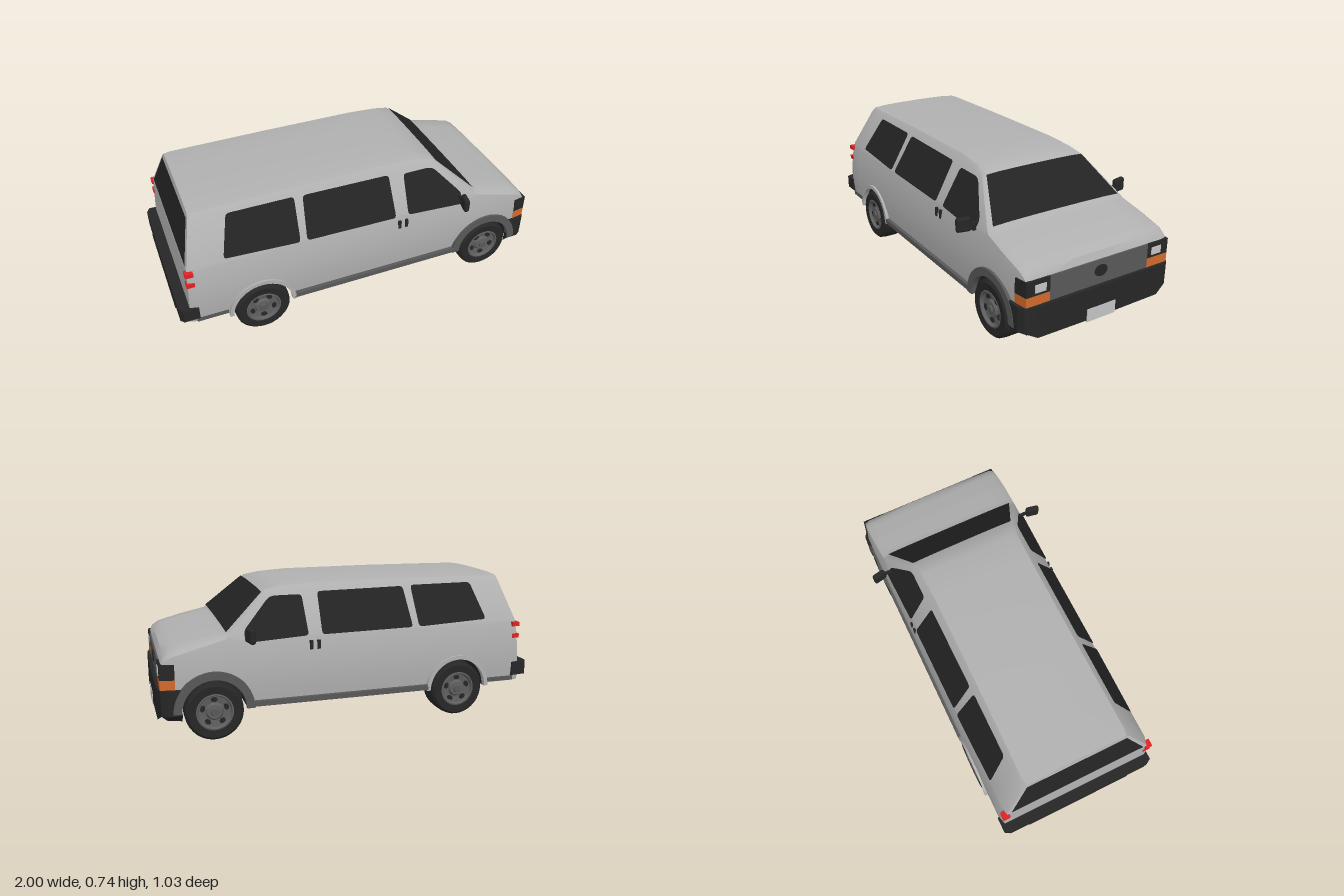
import * as THREE from 'three';
import { toCreasedNormals } from 'three/addons/utils/BufferGeometryUtils.js';
import { RoundedBoxGeometry } from 'three/addons/geometries/RoundedBoxGeometry.js';

const mat = (name, color, side = THREE.DoubleSide) =>
  Object.assign(new THREE.MeshStandardMaterial({ color, side }), { name });
const M = {
  body: mat('silver paint', 0xb0b0b0), glass: mat('dark glass', 0x232323),
  rubber: mat('black rubber', 0x262626), trim: mat('grey trim', 0x585858),
  amber: mat('amber lens', 0xd06a2c), red: mat('red lens', 0xe02222),
  lens: mat('clear lens', 0xc4c4c4), rim: mat('wheel grey', 0x5e5e5e),
};
const lerpTable = (t, x, k = 1) => {
  if (x <= t[0][0]) return t[0][k];
  for (let i = 1; i < t.length; i++) if (x <= t[i][0]) {
    const [a, b] = [t[i - 1], t[i]];
    return a[k] + (b[k] - a[k]) * (x - a[0]) / (b[0] - a[0]);
  }
  return t[t.length - 1][k];
};

// Body rules: half width by height, roof and shoulder height by length, plan taper, tail slope
const WIDTH = [[.16, .425], [.25, .435], [.34, .435], [.43, .425], [.5, .41], [.7, .3], [.72, .28]];
const TOP = [[-.94, .732, .7], [-.3, .742, .705], [.2, .742, .705], [.36, .728, .7], [.44, .71, .69],
  [.66, .515, .495], [.8, .485, .46], [.92, .452, .428], [.955, .43, .405], [.97, .395, .385]];
const TAPER = [[-.94, .97], [-.89, 1], [.8, 1], [.92, .985], [.97, .965]];
const TAIL = [[.16, -.945], [.48, -.925], [.72, -.86]];
const WHEELS = [-.57, .725], AXLE = .145, ARCH = .165;
const halfWidth = y => lerpTable(WIDTH, y);

function grid(rows, crease = .6) {
  const n = rows[0].length, index = [];
  for (let i = 0; i < rows.length - 1; i++) for (let j = 0; j < n - 1; j++) {
    const a = i * n + j, b = a + n;
    index.push(a, b, a + 1, b, b + 1, a + 1);
  }
  const g = new THREE.BufferGeometry();
  g.setAttribute('position', new THREE.Float32BufferAttribute(rows.flat(2), 3));
  g.setIndex(index);
  return toCreasedNormals(g, crease);
}

// Upper half of a cross-section, from shoulder to centre line
function crown(x) {
  const top = lerpTable(TOP, x, 1), s = lerpTable(TOP, x, 2), z = halfWidth(s);
  return [[.93, .7], [.7, .9], [.35, .98], [0, 1]].map(([w, h]) => [z * w, s + (top - s) * h]);
}
function section(x) {
  let base = .16;
  for (const w of WHEELS) if (Math.abs(x - w) < ARCH) base = Math.max(base, AXLE + Math.sqrt(ARCH ** 2 - (x - w) ** 2));
  const s = lerpTable(TOP, x, 2);
  const half = [.16, .25, .34, .43, .48, .5, .6, .7].map(l => {
    const y = Math.min(s, Math.max(base, l));
    return [halfWidth(y), y];
  }).concat(crown(x));
  const place = ([z, y], k) => {
    const px = x < -.7 ? -.7 + (x + .7) / .24 * (-lerpTable(TAIL, y) - .7) : x;
    return [px, y, z * k * lerpTable(TAPER, x)];
  };
  return [...half.map(p => place(p, 1)), ...half.slice(0, -1).reverse().map(p => place(p, -1))];
}

export function createModel() {
  const root = new THREE.Group();
  root.name = 'van';
  const add = (name, geo, m, x = 0, y = 0, z = 0, parent = root) => {
    const mesh = new THREE.Mesh(geo, m);
    mesh.name = name;
    mesh.position.set(x, y, z);
    parent.add(mesh);
    return mesh;
  };
  // Box given by its limits on each axis
  const box = (name, m, x0, x1, y0, y1, z0, z1, r = 0) => {
    const d = [x1 - x0, y1 - y0, Math.abs(z1 - z0)];
    return add(name, r ? new RoundedBoxGeometry(...d, 3, r) : new THREE.BoxGeometry(...d), m,
      (x0 + x1) / 2, (y0 + y1) / 2, (z0 + z1) / 2);
  };

  // Body shell, open underneath
  const stations = [...TOP.map(t => t[0]), -.89, -.8, -.7];
  for (const w of WHEELS) for (let i = 0; i <= 16; i++) stations.push(w - ARCH * Math.cos(i * Math.PI / 16));
  stations.sort((a, b) => a - b);
  const rings = stations.map(section);
  add('bodyShell', grid(rings), M.body);
  const cap = (ring, flip) => grid(ring.slice(0, (ring.length + 1) / 2).map((p, j) => {
    const q = ring[ring.length - 1 - j];
    return flip ? [q, p] : [p, q];
  }), .2);
  add('tailPanel', cap(rings[0], false), M.body);
  add('nosePanel', cap(rings[rings.length - 1], true), M.body);

  // Windscreen and rear window, outer and inner faces
  for (const o of [.004, -.004]) {
    add('windscreen', grid([.452, .54, .648].map(x => {
      const c = crown(x).map(([z, y]) => [x + o * .7, y + o, z]);
      return [...c, ...c.slice(0, -1).reverse().map(([a, b, z]) => [a, b, -z])];
    })), M.glass);
    add('rearWindow', grid([.5, .6, .703].map(y => [1, -1].map(s =>
      [lerpTable(TAIL, y) - o, y, s * halfWidth(y) * .92]))), M.glass);
  }

  // Side windows laid on the sloping upper sides
  const windows = [
    ['rearSideWindow', [[-.74, .51], [-.35, .495], [-.34, .697], [-.685, .697]]],
    ['middleSideWindow', [[-.315, .495], [.175, .49], [.172, .69], [-.295, .694]]],
    ['frontSideWindow', [[.245, .49], [.565, .475], [.565, .53], [.43, .67], [.405, .68], [.255, .68]]],
  ];
  const softPolygon = pts => {
    const shape = new THREE.Shape(), v = pts.map(p => new THREE.Vector2(...p));
    v.forEach((p, i) => {
      const toward = q => p.clone().add(q.clone().sub(p).setLength(.018));
      const a = toward(v[(i + v.length - 1) % v.length]), b = toward(v[(i + 1) % v.length]);
      i ? shape.lineTo(a.x, a.y) : shape.moveTo(a.x, a.y);
      shape.quadraticCurveTo(p.x, p.y, b.x, b.y);
    });
    return new THREE.ShapeGeometry(shape, 4);
  };
  for (const [name, pts] of windows) for (const s of [1, -1]) for (const o of [.004, -.004]) {
    const g = softPolygon(pts), p = g.attributes.position;
    for (let i = 0; i < p.count; i++) p.setZ(i, s * (.41 - (p.getY(i) - .5) * .55 + o));
    if (s < 0) g.index.array.reverse();
    g.computeVertexNormals();
    add(name, g, M.glass);
  }

  // Bumpers: plan outline extruded upward, lower corners lifted
  const bumper = (name, half, y0, y1, lift) => {
    const pts = [...half, ...half.slice().reverse().map(([x, z]) => [x, -z])].map(p => new THREE.Vector2(...p));
    const g = new THREE.ExtrudeGeometry(new THREE.Shape(pts),
      { depth: y1 - y0, bevelEnabled: false }).rotateX(Math.PI / 2).translate(0, y1, 0);
    const p = g.attributes.position;
    for (let i = 0; i < p.count; i++) if (p.getY(i) < y0 + .01 && Math.abs(p.getZ(i)) > .42) p.setY(i, y0 + lift);
    add(name, toCreasedNormals(g, .5), M.rubber);
  };
  bumper('frontBumper', [[.96, 0], [.95, .39], [.88, .42], [.88, .445], [.95, .444], [.978, .425], [.993, .36], [.998, 0]].slice(3)
    .concat([]).reverse().concat([[.88, .42], [.95, .39], [.96, .01]]), .108, .27, .035);
  bumper('rearBumper', [[-.995, 0], [-.992, .41], [-.975, .44], [-.895, .44], [-.895, .42], [-.93, .4], [-.93, .01]], .185, .265, .01);
  box('rearStep', M.rubber, -.995, -.93, .168, .19, -.3, .3);
  box('plate', M.lens, .994, 1, .1, .167, -.085, .085);

  // Grille and lamps
  box('grille', M.trim, .96, .978, .262, .394, -.292, .292);
  const disc = add('grilleDisc', new THREE.CylinderGeometry(.037, .037, .006, 24), M.rubber, .979, .34, 0);
  disc.rotation.z = Math.PI / 2;
  disc.scale.x = .8;

  for (const s of [1, -1]) {
    const lampBlock = (name, m, y0, y1) => {
      const mesh = box(name, m, .908, .979, y0, y1, s * .29, s * .431), p = mesh.geometry.attributes.position;
      for (let i = 0; i < p.count; i++) if (p.getX(i) > 0 && p.getZ(i) * s > 0) p.setZ(i, p.getZ(i) - s * .012);
    };
    lampBlock('headlampSurround', M.rubber, .318, .394);
    lampBlock('turnSignal', M.amber, .262, .318);
    box('headlamp', M.lens, .977, .983, .332, .371, s * .313, s * .373);
    for (const y of [.398, .462]) box('tailLamp', M.red, -.936, -.895, y, y + .022, s * .39, s * .427);
    for (const x of [.195, .234]) box('doorHandle', M.rubber, x - .008, x + .008, .42, .465, s * .41, s * .43);
    box('sill', M.trim, -.4, .55, .155, .182, s * .41, s * .447);
    box('rearValance', M.trim, -.91, -.75, .162, .195, s * .39, s * .428);

    // Door mirrors
    const mirror = box('mirror', M.rubber, .532, .562, .482, .555, s * .438, s * .513, .013);
    mirror.rotation.y = s * -.2;
    box('mirrorArm', M.rubber, .545, .56, .507, .522, s * .39, s * .45);

    // Wipers along the windscreen base
    const wiper = box('wiper', M.rubber, .635, .645, .523, .531, s > 0 ? .08 : -.27, s > 0 ? .3 : -.05);
    wiper.rotation.x = .06;

    // Arches, wheel wells and wheels
    WHEELS.forEach((x, k) => {
      const R = k ? .198 : .178, ring = new THREE.Shape();
      ring.absarc(0, 0, R, 0, Math.PI, false);
      ring.absarc(0, 0, .157, Math.PI, 0, true);
      const flare = new THREE.ExtrudeGeometry(ring, { depth: .028, bevelEnabled: false, curveSegments: 14 });
      add(k ? 'frontArchFlare' : 'rearArchFlare', toCreasedNormals(flare, .5), k ? M.trim : M.body,
        x, AXLE + .005, s > 0 ? .419 : -.447);
      const well = new THREE.CylinderGeometry(.164, .164, .16, 20, 1, true, 0, Math.PI);
      add('wheelWell', well.rotateX(Math.PI / 2).rotateZ(Math.PI / 2), M.rubber, x, AXLE, s * .35);
      add('wheelWellWall', new THREE.CircleGeometry(.164, 20, 0, Math.PI), M.rubber, x, AXLE, s * .27);

      const wheel = new THREE.Group();
      wheel.name = k ? 'frontWheel' : 'rearWheel';
      wheel.position.set(x, AXLE, s * .378);
      wheel.rotation.x = s * Math.PI / 2;
      root.add(wheel);
      const lathe = pts => toCreasedNormals(new THREE.LatheGeometry(pts.map(p => new THREE.Vector2(...p)), 36), .6);
      add('tyre', lathe([[.001, -.06], [.085, -.067], [.13, -.067], [.142, -.055], [.145, -.03], [.145, .03],
        [.142, .055], [.13, .067], [.092, .064], [.085, .04]]), M.rubber, 0, 0, 0, wheel);
      add('rim', lathe([[.092, .064], [.085, .066], [.078, .05], [.045, .045], [.036, .058], [.001, .06]]), M.rim, 0, 0, 0, wheel);
      for (let i = 0; i < 5; i++) {
        const a = i * Math.PI * .4 + .3;
        const slot = add('rimSlot', new THREE.CylinderGeometry(.012, .012, .008, 10), M.rubber,
          Math.cos(a) * .061, .049, Math.sin(a) * .061, wheel);
        slot.rotation.y = -a;
        slot.scale.z = 1.4;
      }
      add('hubCap', new THREE.CylinderGeometry(.018, .022, .012, 16), M.trim, 0, .062, 0, wheel);
    });
  }

  // Exhaust pipe
  const path = new THREE.CatmullRomCurve3([[-.4, .21, .2], [-.62, .22, .24], [-.74, .19, .3], [-.8, .185, .41]]
    .map(p => new THREE.Vector3(...p)));
  add('exhaustPipe', new THREE.TubeGeometry(path, 20, .018, 10), M.trim);
  return root;
}
